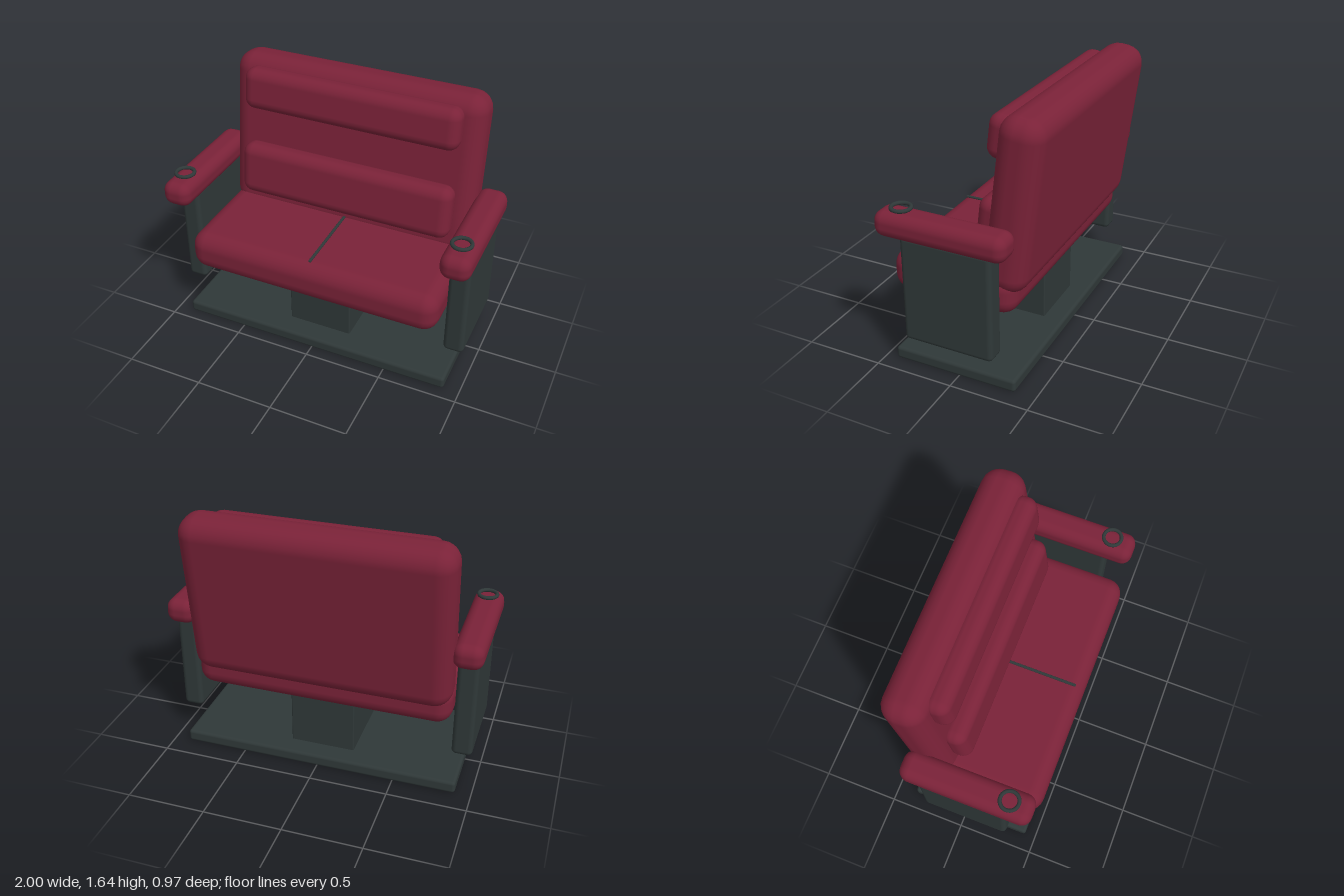
import * as THREE from 'three';
import { RoundedBoxGeometry } from 'three/addons/geometries/RoundedBoxGeometry.js';

const upholstery = new THREE.MeshStandardMaterial({ color: 0x7a2238 });
upholstery.name = 'burgundy upholstery';
const frame = new THREE.MeshStandardMaterial({ color: 0x2f3838 });
frame.name = 'dark grey frame';

const RECLINE = -0.122;

export function createModel() {
  const model = new THREE.Group();
  model.name = 'doubleSeat';

  // Rounded block given by its size and centre, optionally tilted back
  function block(name, material, size, centre, radius, tilt = 0) {
    const mesh = new THREE.Mesh(new RoundedBoxGeometry(...size, 3, radius), material);
    mesh.name = name;
    mesh.position.set(...centre);
    mesh.rotation.x = tilt;
    model.add(mesh);
    return mesh;
  }

  // Base plate and pedestal
  block('basePlate', frame, [1.8, 0.08, 0.8], [0, 0.04, 0.03], 0.02);
  block('pedestal', frame, [0.42, 0.42, 0.53], [0, 0.27, 0.025], 0.008);

  // Seat and reclined back with its two pillows
  block('seatCushion', upholstery, [1.66, 0.26, 0.805], [0, 0.56, 0.082], 0.1);
  block('backrest', upholstery, [1.66, 1.075, 0.275], [0, 1.107, -0.294], 0.115, RECLINE);
  block('headPillow', upholstery, [1.42, 0.27, 0.16], [0, 1.467, -0.178], 0.07, RECLINE);
  block('lumbarPillow', upholstery, [1.43, 0.345, 0.16], [0, 0.925, -0.104], 0.07, RECLINE);

  // Piping between the two places
  block('centreSeam', frame, [0.018, 0.012, 0.52], [0, 0.702, 0.165], 0.004);

  // Side panels, armrests and cup rings
  for (const [side, s] of [['left', 1], ['right', -1]]) {
    block(side + 'SidePanel', frame, [0.13, 0.685, 0.575], [s * 0.905, 0.558, 0.027], 0.03);
    block(side + 'Armrest', upholstery, [0.188, 0.16, 0.83], [s * 0.906, 0.95, 0.06], 0.065);
    const ring = new THREE.Mesh(new THREE.TorusGeometry(0.057, 0.012, 10, 32), frame);
    ring.name = side + 'CupRing';
    ring.rotation.x = Math.PI / 2;
    ring.position.set(s * 0.905, 1.049, 0.325);
    model.add(ring);
  }

  return model;
}
